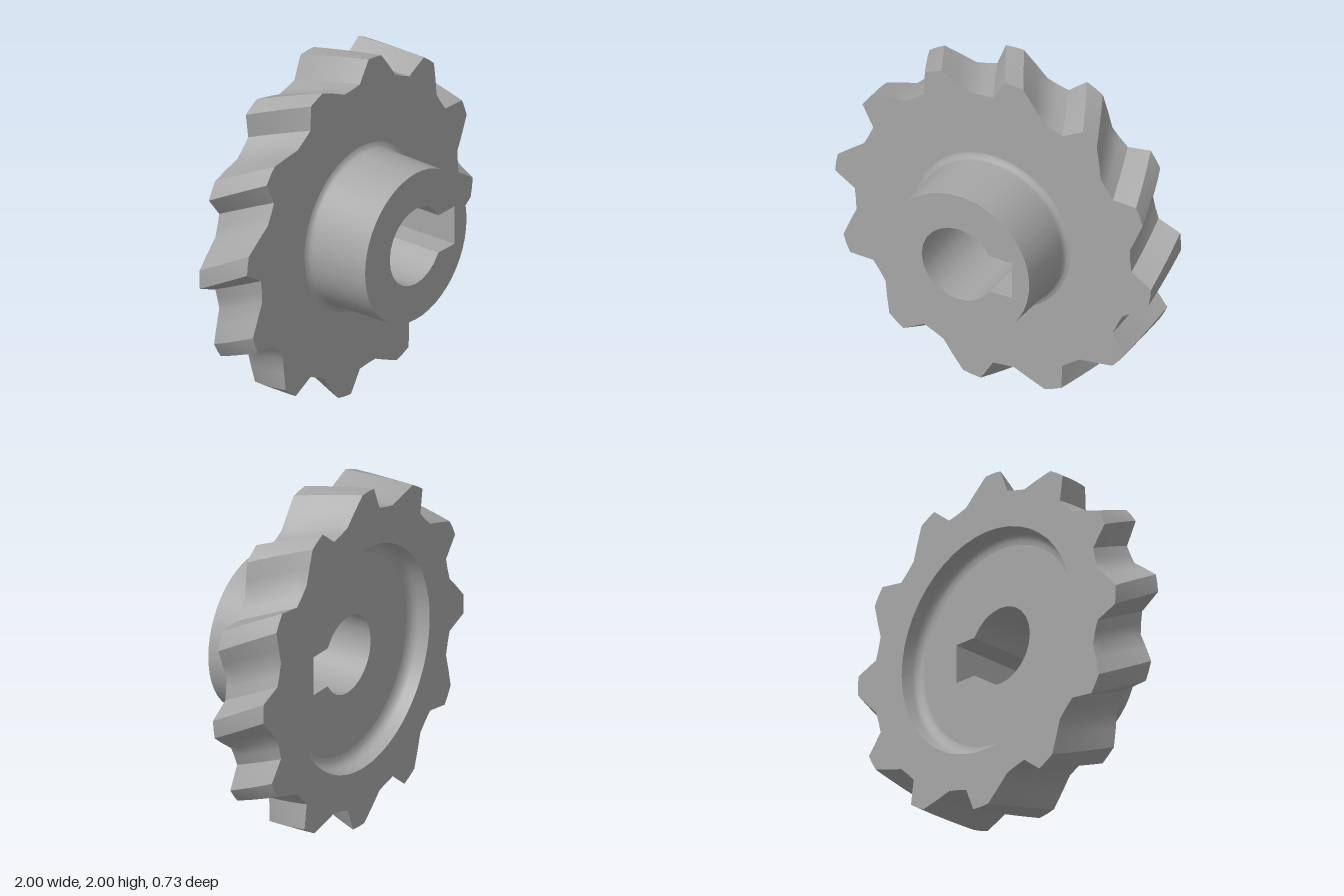
import * as THREE from 'three';
import { toCreasedNormals } from 'three/addons/utils/BufferGeometryUtils.js';

const TEETH = 12, SEG = 48;
const Z_HUB = 0.365, Z_FRONT = -0.03, Z_FLOOR = -0.26, Z_BACK = -0.365;
const TWIST = THREE.MathUtils.degToRad(10.5);

const polar = (r, a) => new THREE.Vector2(r * Math.cos(a), r * Math.sin(a));

const circle = (r) => Array.from({ length: SEG }, (_, i) => polar(r, (i / SEG) * Math.PI * 2));

// Gear outline, counter-clockwise; each tooth leans, one flank being steeper
function gearOutline(turn) {
  const tooth = [[69, 0.873], [74, 0.93], [79, 0.998], [82.2, 1], [85.5, 1], [88, 0.925], [90, 0.873], [94.5, 0.868]];
  const pts = [];
  for (let i = 0; i < TEETH; i++) {
    for (const [deg, r] of tooth) pts.push(polar(r, THREE.MathUtils.degToRad(deg + i * 360 / TEETH) + turn));
  }
  return pts;
}

// Round bore with a square keyway on the +x side
function boreOutline() {
  const r = 0.23, h = 0.115, a0 = Math.asin(h / r), n = 20;
  const pts = [new THREE.Vector2(0.34, -h), new THREE.Vector2(0.34, h)];
  for (let i = 0; i <= n; i++) pts.push(polar(r, a0 + (i / n) * (Math.PI * 2 - 2 * a0)));
  return pts;
}

// Flat plate with one hole, facing front or back
function plate(outline, hole, z, facesBack = false) {
  const shape = new THREE.Shape(outline);
  shape.holes.push(new THREE.Path(hole));
  const g = new THREE.ShapeGeometry(shape);
  if (facesBack) {
    const idx = g.index.array;
    for (let i = 0; i < idx.length; i += 3) [idx[i], idx[i + 1]] = [idx[i + 1], idx[i]];
    g.computeVertexNormals();
  }
  return g.translate(0, 0, z);
}

// Wall through a stack of equal closed outlines running from back to front
function wall(outlineAt, z0, z1, steps, inward = false) {
  const pos = [], idx = [];
  let n = 0;
  for (let s = 0; s <= steps; s++) {
    const t = s / steps, ring = outlineAt(t);
    n = ring.length;
    for (const p of ring) pos.push(p.x, p.y, z0 + (z1 - z0) * t);
  }
  for (let s = 0; s < steps; s++) {
    for (let i = 0; i < n; i++) {
      const a = s * n + i, b = s * n + (i + 1) % n, c = b + n, d = a + n;
      if (inward) idx.push(a, c, b, a, d, c);
      else idx.push(a, b, c, a, c, d);
    }
  }
  const g = new THREE.BufferGeometry();
  g.setAttribute('position', new THREE.Float32BufferAttribute(pos, 3));
  g.setIndex(idx);
  return toCreasedNormals(g, 0.6);
}

// Turned surface around the z axis from [radius, z] pairs
const turned = (profile) =>
  new THREE.LatheGeometry(profile.map(([r, z]) => new THREE.Vector2(r, z)), SEG).rotateX(Math.PI / 2);

export function createModel() {
  const group = new THREE.Group();
  group.name = 'helicalGear';
  const steel = new THREE.MeshStandardMaterial({ color: 0xa6a6a6 });
  steel.name = 'steel grey';
  const add = (name, geometry) => {
    const mesh = new THREE.Mesh(geometry, steel);
    mesh.name = name;
    mesh.position.y = 1;
    group.add(mesh);
  };
  const bore = boreOutline();

  // Toothed wheel
  add('helicalTeeth', wall((t) => gearOutline(TWIST * (1 - t)), Z_BACK, Z_FRONT, 6));
  add('wheelFrontFace', plate(gearOutline(0), circle(0.49), Z_FRONT));
  add('rimBackFace', plate(gearOutline(TWIST), circle(0.66), Z_BACK, true));

  // Dished back with a rounded inner corner
  add('recessWall', turned([[0.585, Z_FLOOR], [0.61, -0.264], [0.632, -0.277], [0.646, -0.3], [0.66, Z_BACK]]));
  add('recessFloor', plate(circle(0.585), bore, Z_FLOOR, true));

  // Hub with a fillet at its foot
  add('hubSide', turned([[0.49, Z_FRONT], [0.472, -0.025], [0.46, -0.013], [0.455, 0.005], [0.448, Z_HUB]]));
  add('hubFace', plate(circle(0.448), bore, Z_HUB));

  // Keyed bore running right through
  add('keyedBore', wall(() => bore, Z_FLOOR, Z_HUB, 1, true));
  return group;
}
